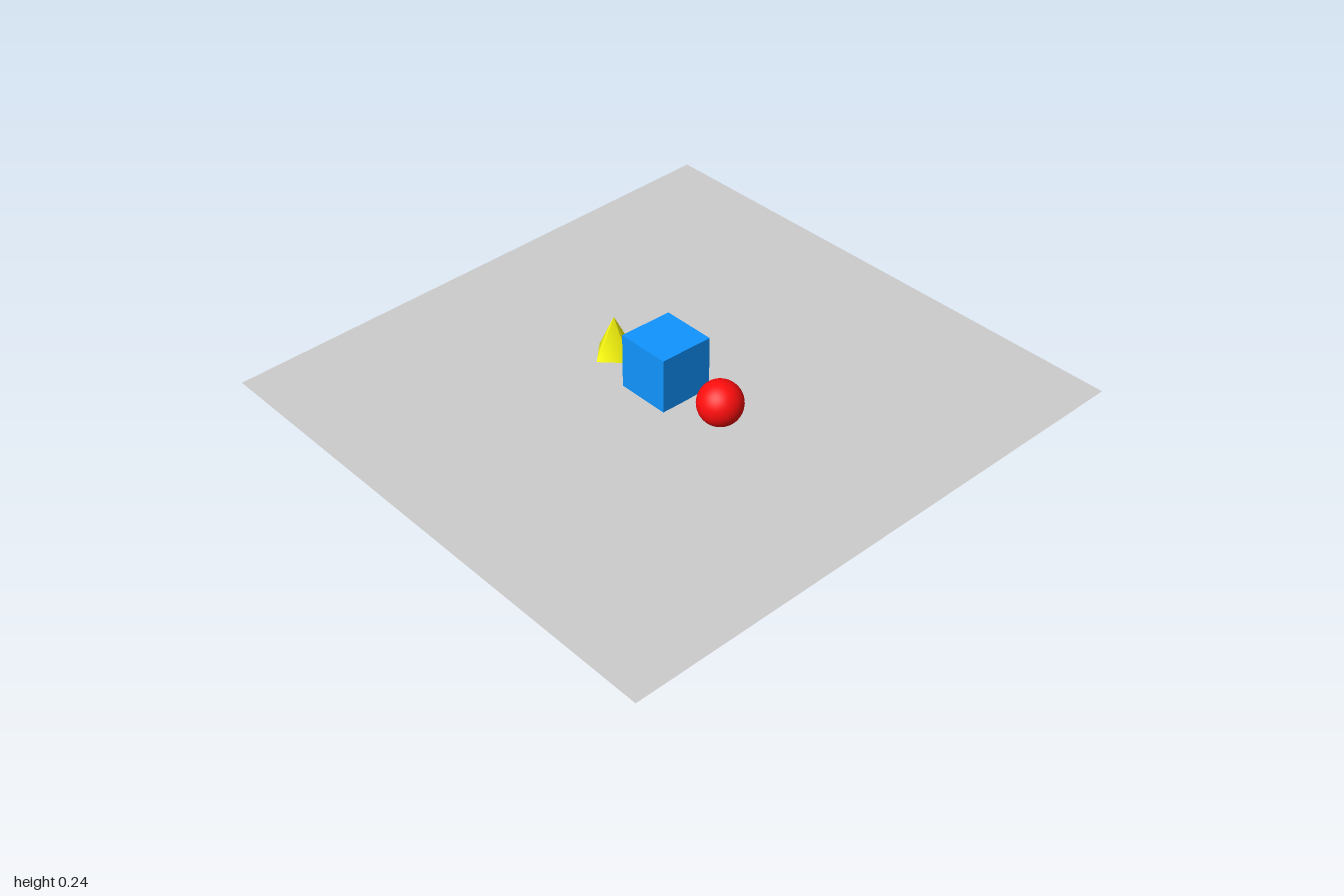
import * as THREE from 'three';

const RISE = 0.085;      // height of the ground's back edge
const BASE = RISE / 2;   // level on which the solids stand

function addPart(group, name, geometry, color, x, y, side = THREE.FrontSide) {
  const mesh = new THREE.Mesh(geometry, new THREE.MeshStandardMaterial({ color, side }));
  mesh.name = name;
  mesh.position.set(x, y, 0);
  group.add(mesh);
  return mesh;
}

export function createModel() {
  const group = new THREE.Group();
  group.name = 'primitiveShapes';

  // thin ground sheet, tilted so that its back edge is higher
  const tilt = Math.asin(RISE / 2);
  const sheet = new THREE.PlaneGeometry(2, 2).rotateX(-Math.PI / 2 + tilt);
  addPart(group, 'ground', sheet, 0xcccccc, 0, BASE, THREE.DoubleSide);

  // cube in the middle
  addPart(group, 'cube', new THREE.BoxGeometry(0.2, 0.2, 0.2), 0x1095ff, 0, BASE + 0.1);

  // ball on the left
  const r = 0.078;
  addPart(group, 'ball', new THREE.SphereGeometry(r, 32, 32), 0xff0d0d, 0.26, BASE + r);

  // four-sided cone on the right, corners on the axes
  const h = 0.147;
  addPart(group, 'cone', new THREE.ConeGeometry(r, h, 4), 0xffff0d, -0.26, BASE + h / 2);

  return group;
}
